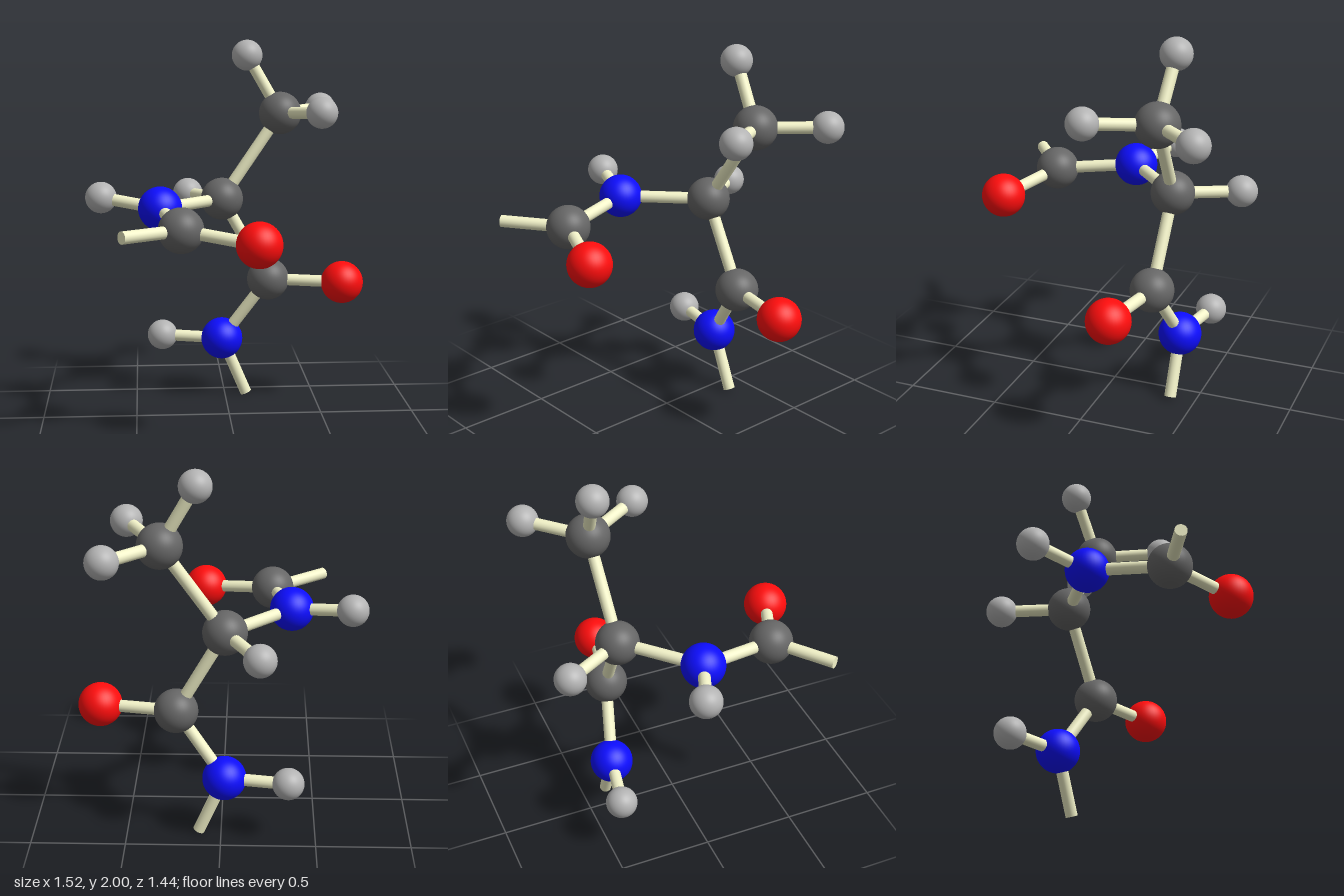
import * as THREE from 'three';

const material = (color) => new THREE.MeshStandardMaterial({ color });

// Radius and colour for each kind of ball
const KINDS = {
  carbon: { radius: 0.116, material: material(0x666666) },
  nitrogen: { radius: 0.116, material: material(0x0d0dff) },
  oxygen: { radius: 0.116, material: material(0xff0d0d) },
  hydrogen: { radius: 0.084, material: material(0xb3b3b3) },
};
const BOND_RADIUS = 0.032;
const BOND_MATERIAL = material(0xf2f2c8);

// Balls: kind and centre
const ATOMS = {
  centralCarbon: ['carbon', -0.02, 1.135, -0.315],
  centralHydrogen: ['hydrogen', -0.198, 1.125, -0.636],
  methylCarbon: ['carbon', 0.302, 1.604, -0.34],
  methylHydrogenTop: ['hydrogen', 0.122, 1.918, -0.37],
  methylHydrogenFront: ['hydrogen', 0.492, 1.63, -0.022],
  methylHydrogenBack: ['hydrogen', 0.558, 1.612, -0.608],
  upperNitrogen: ['nitrogen', -0.365, 1.135, 0.017],
  upperNitrogenHydrogen: ['hydrogen', -0.678, 1.178, -0.108],
  upperCarbon: ['carbon', -0.268, 1.09, 0.447],
  upperOxygen: ['oxygen', 0.109, 1.04, 0.6],
  lowerCarbon: ['carbon', 0.235, 0.685, -0.297],
  lowerOxygen: ['oxygen', 0.638, 0.678, -0.214],
  lowerNitrogen: ['nitrogen', -0.018, 0.331, -0.37],
  lowerNitrogenHydrogen: ['hydrogen', -0.352, 0.339, -0.44],
};

// Rods between pairs of balls
const BONDS = [
  ['centralCarbon', 'centralHydrogen'],
  ['centralCarbon', 'methylCarbon'],
  ['centralCarbon', 'upperNitrogen'],
  ['centralCarbon', 'lowerCarbon'],
  ['methylCarbon', 'methylHydrogenTop'],
  ['methylCarbon', 'methylHydrogenFront'],
  ['methylCarbon', 'methylHydrogenBack'],
  ['upperNitrogen', 'upperNitrogenHydrogen'],
  ['upperNitrogen', 'upperCarbon'],
  ['upperCarbon', 'upperOxygen'],
  ['lowerCarbon', 'lowerOxygen'],
  ['lowerCarbon', 'lowerNitrogen'],
  ['lowerNitrogen', 'lowerNitrogenHydrogen'],
];

// Open-ended rods where the chain would continue
const STUBS = [
  ['upperCarbon', -0.56, 1.095, 0.668],
  ['lowerNitrogen', 0.118, 0.013, -0.366],
];

const centre = (name) => new THREE.Vector3(...ATOMS[name].slice(1));

function makeAtom(name) {
  const { radius, material } = KINDS[ATOMS[name][0]];
  const ball = new THREE.Mesh(new THREE.SphereGeometry(radius, 40, 28), material);
  ball.position.copy(centre(name));
  ball.name = name;
  return ball;
}

function makeRod(name, from, to) {
  const axis = to.clone().sub(from);
  const geometry = new THREE.CylinderGeometry(BOND_RADIUS, BOND_RADIUS, axis.length(), 24);
  const rod = new THREE.Mesh(geometry, BOND_MATERIAL);
  rod.position.copy(from).lerp(to, 0.5);
  rod.quaternion.setFromUnitVectors(new THREE.Vector3(0, 1, 0), axis.normalize());
  rod.name = name;
  return rod;
}

export function createModel() {
  const model = new THREE.Group();
  model.name = 'ballAndStickMolecule';

  const atoms = new THREE.Group();
  atoms.name = 'atoms';
  for (const name of Object.keys(ATOMS)) atoms.add(makeAtom(name));

  const bonds = new THREE.Group();
  bonds.name = 'bonds';
  for (const [a, b] of BONDS) bonds.add(makeRod(`bond ${a} to ${b}`, centre(a), centre(b)));
  for (const [a, ...end] of STUBS) {
    bonds.add(makeRod(`open bond of ${a}`, centre(a), new THREE.Vector3(...end)));
  }

  model.add(atoms, bonds);
  return model;
}
